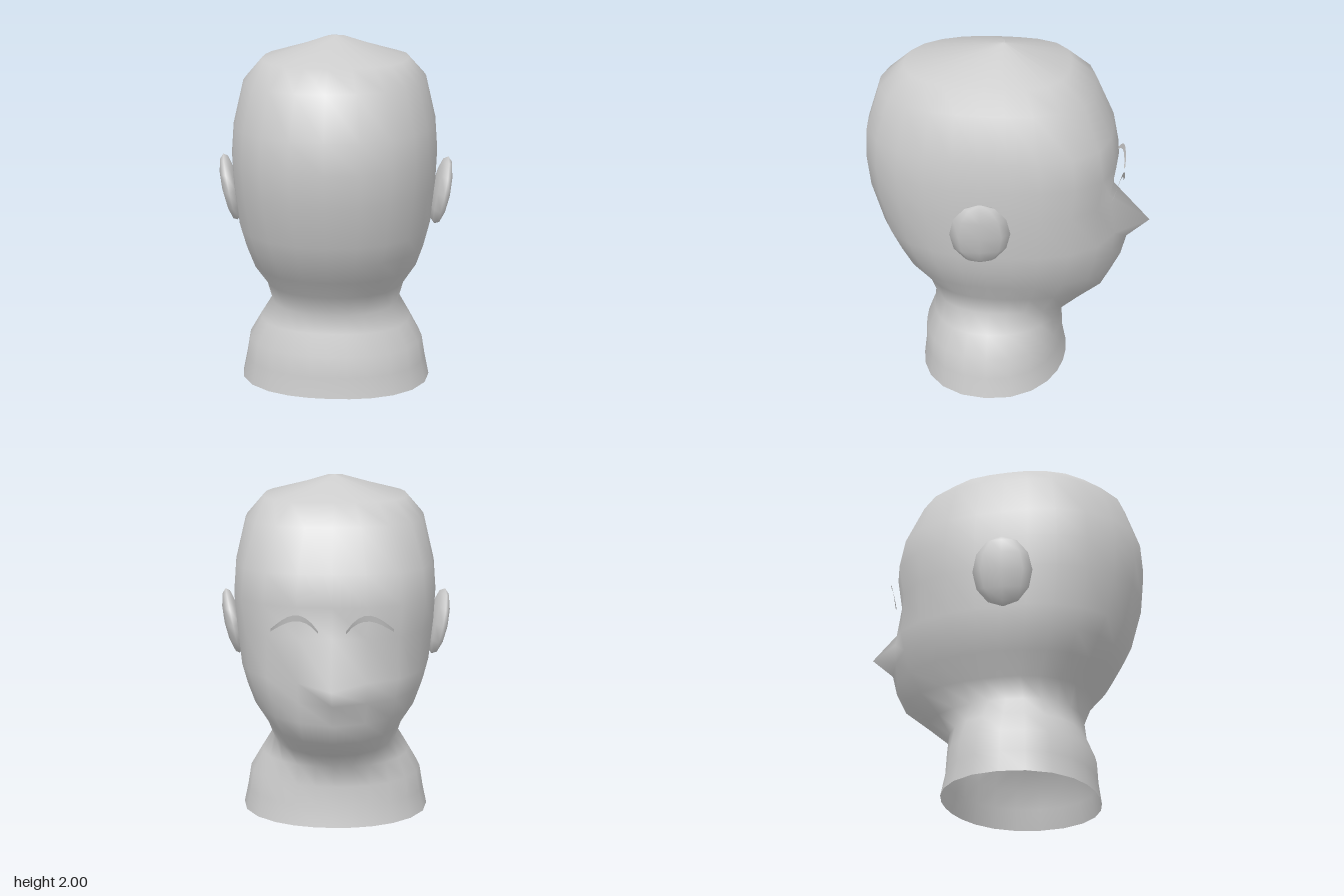
import * as THREE from 'three';

const SIDES = 24;

// Horizontal sections: [y, half width, back z, front z, middle z, front squareness, extra reach of the centre front point]
const SECTIONS = [
  [0.00, 0.555, 0.52, -0.35, 0.08, 2.1, 0],
  [0.12, 0.53, 0.505, -0.325, 0.08, 2.1, 0],
  [0.24, 0.51, 0.50, -0.32, 0.08, 2.1, 0],
  [0.36, 0.44, 0.45, -0.32, 0.08, 2.1, 0],
  [0.47, 0.37, 0.44, -0.45, 0.08, 2.1, 0],
  [0.59, 0.405, 0.49, -0.60, 0.06, 2.1, 0],
  [0.71, 0.48, 0.60, -0.64, 0.07, 2.2, 0.02],
  [0.83, 0.52, 0.67, -0.64, 0.08, 2.4, 0.05],
  [0.945, 0.548, 0.73, -0.64, 0.09, 2.6, 0.18],
  [1.18, 0.572, 0.80, -0.60, 0.10, 2.8, 0],
  [1.36, 0.58, 0.82, -0.625, 0.10, 3, 0],
  [1.53, 0.567, 0.81, -0.59, 0.10, 3, 0],
  [1.77, 0.51, 0.73, -0.48, 0.10, 3, 0],
  [1.885, 0.41, 0.59, -0.34, 0.10, 3, 0],
  [2.00, 0.04, 0.035, 0.025, 0.03, 2, 0],
];

// Head and neck: one smooth skin through the sections, open underneath
function headGeometry() {
  const pos = [], index = [];
  for (const [y, a, back, front, mid, square, reach] of SECTIONS) {
    for (let j = 0; j < SIDES; j++) {
      const t = (j / SIDES) * Math.PI * 2;
      const s = Math.sin(t), c = Math.cos(t);
      const b = c >= 0 ? back - mid : mid - front;
      const n = c >= 0 ? 2.25 : square;
      const r = Math.pow(Math.pow(Math.abs(s) / a, n) + Math.pow(Math.abs(c) / b, n), -1 / n);
      pos.push(s * r, y, mid + c * r - (j === SIDES / 2 ? reach : 0));
    }
  }
  const last = (SECTIONS.length - 1) * SIDES;
  for (let i = 0; i < SECTIONS.length - 1; i++) {
    for (let j = 0; j < SIDES; j++) {
      const k = (j + 1) % SIDES;
      const p = i * SIDES + j, q = i * SIDES + k;
      index.push(p, q, p + SIDES, q, q + SIDES, p + SIDES);
    }
  }
  // crown
  pos.push(0, 2, 0.03);
  for (let j = 0; j < SIDES; j++) index.push(last + j, last + ((j + 1) % SIDES), last + SIDES);
  const g = new THREE.BufferGeometry();
  g.setAttribute('position', new THREE.Float32BufferAttribute(pos, 3));
  g.setIndex(index);
  g.computeVertexNormals();
  return g;
}

// Eyebrow: thin arched ribbon; side is +1 or -1
function browGeometry(side) {
  const steps = 8, pos = [], index = [];
  for (let i = 0; i <= steps; i++) {
    const u = i / steps;
    const x = side * (0.075 + 0.255 * u);
    const y = 1.235 + 0.075 * Math.sin(Math.PI * Math.pow(u, 0.85));
    const z = -0.662 + 0.055 * u * u;
    const h = 0.008 + 0.009 * Math.sin(Math.PI * u);
    pos.push(x, y - h, z + 0.004, x, y + h, z - 0.004);
    if (i < steps) {
      const k = i * 2;
      if (side > 0) index.push(k, k + 1, k + 2, k + 1, k + 3, k + 2);
      else index.push(k, k + 2, k + 1, k + 1, k + 2, k + 3);
    }
  }
  const g = new THREE.BufferGeometry();
  g.setAttribute('position', new THREE.Float32BufferAttribute(pos, 3));
  g.setIndex(index);
  g.computeVertexNormals();
  return g;
}

export function createModel() {
  const model = new THREE.Group();
  model.name = 'headBust';
  const grey = new THREE.MeshStandardMaterial({ color: 0xcccccc, side: THREE.DoubleSide });
  grey.name = 'plain grey';

  const add = (name, geometry) => {
    const mesh = new THREE.Mesh(geometry, grey);
    mesh.name = name;
    model.add(mesh);
    return mesh;
  };

  add('headAndNeck', headGeometry());

  for (const side of [1, -1]) {
    const label = side > 0 ? 'left' : 'right';
    add(label + 'Eyebrow', browGeometry(side));

    // Ear: flattened faceted lens leaning outwards at the top
    const ear = add(label + 'Ear', new THREE.SphereGeometry(1, 8, 6));
    ear.scale.set(0.05, 0.2, 0.165);
    ear.rotation.set(0, 0.12, -0.19 * side);
    ear.position.set(0.608 * side, 1.127, side > 0 ? 0.095 : 0.115);
  }
  return model;
}
